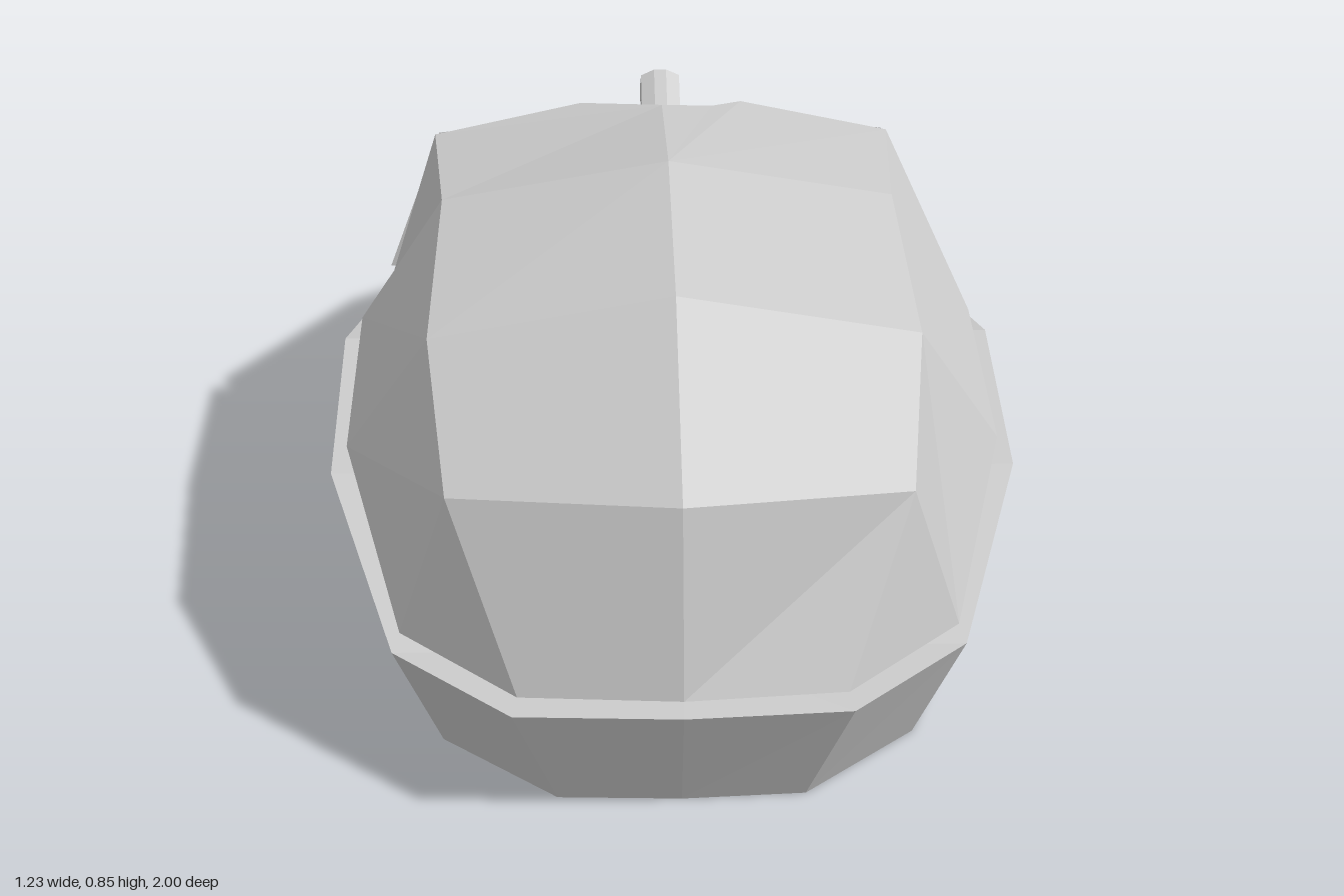
import * as THREE from 'three';

const material = new THREE.MeshStandardMaterial({ color: 0xcccccc, flatShading: true });

// Mesh from convex faces (loops of points, counter-clockwise from outside).
function facesMesh(name, faces) {
  const pos = [];
  for (const f of faces)
    for (let i = 1; i < f.length - 1; i++) pos.push(...f[0], ...f[i], ...f[i + 1]);
  const g = new THREE.BufferGeometry();
  g.setAttribute('position', new THREE.Float32BufferAttribute(pos, 3));
  g.computeVertexNormals();
  const mesh = new THREE.Mesh(g, material);
  mesh.name = name;
  return mesh;
}

const mirror = (faces) => faces.map((f) => f.map(([x, y, z]) => [-x, y, z]).reverse());
const both = (faces) => [...faces, ...mirror(faces)];
const centre = ([, y, z]) => [0, y, z];

// Base tray: rim and floor outlines of the +x half, from front to back
function baseFaces() {
  const rim = [[0.28, 0.22, 0.985], [0.485, 0.23, 0.81], [0.61, 0.37, 0.45], [0.615, 0.43, 0.04],
    [0.55, 0.29, -0.54], [0.435, 0.19, -0.83], [0.265, 0.135, -0.995]];
  const floor = [[0.21, 0, 0.91], [0.41, 0, 0.74], [0.525, 0, 0.42], [0.525, 0, 0.04],
    [0.47, 0, -0.53], [0.37, 0, -0.81], [0.22, 0, -0.97]];
  const rimMid = rim.map(centre), floorMid = floor.map(centre);
  rimMid[0] = [0, 0.22, 1];
  rimMid[6] = [0, 0.135, -1];
  floorMid[0] = [0, 0, 0.92];
  const faces = [
    [floorMid[0], floor[0], rim[0], rimMid[0]],
    [floor[6], floorMid[6], rimMid[6], rim[6]],
  ];
  for (let i = 0; i < 6; i++) {
    faces.push([floor[i], floor[i + 1], rim[i + 1], rim[i]]);
    faces.push([rim[i], rim[i + 1], rimMid[i + 1], rimMid[i]]);
    faces.push([floor[i], floorMid[i], floorMid[i + 1], floor[i + 1]]);
  }
  return both(faces);
}

// Palm shell: ridge, shoulder and lower edge, with a recess for the wheel
function shellFaces() {
  const ridge = [[0, 0.255, 1], [0, 0.57, 0.92], [0, 0.775, 0.575], [0, 0.845, 0.165], [0, 0.785, -0.255]];
  const shoulder = [null, [0.385, 0.53, 0.81], [0.422, 0.68, 0.535], [0.415, 0.745, 0.1], [0.45, 0.705, -0.31]];
  const lower = [[0.27, 0.255, 0.98], [0.47, 0.27, 0.81], [0.58, 0.42, 0.44], [0.58, 0.475, 0.04], [0.55, 0.4, -0.28]];
  const under = lower.map(centre);
  under[0] = ridge[0];
  under[4] = [0, 0.4, -0.24];
  const lip = [[0.16, 0.755, -0.345], [0.1, 0.768, -0.29]];
  const foot = [[0.16, 0.4, -0.315], [0.1, 0.4, -0.27]];
  const faces = [
    [ridge[0], lower[0], shoulder[1], ridge[1]],
    [lower[0], lower[1], shoulder[1]],
    [ridge[3], shoulder[3], shoulder[4], ...lip, ridge[4]],
    [shoulder[4], lower[4], foot[0], lip[0]],
    [lip[0], foot[0], foot[1], lip[1]],
    [lip[1], foot[1], under[4], ridge[4]],
    [under[3], under[4], foot[1], foot[0], lower[4], lower[3]],
  ];
  for (let i = 1; i < 4; i++) {
    faces.push([lower[i], lower[i + 1], shoulder[i + 1], shoulder[i]]);
    if (i < 3) faces.push([ridge[i], shoulder[i], shoulder[i + 1], ridge[i + 1]]);
  }
  for (let i = 0; i < 3; i++) faces.push([lower[i], under[i], under[i + 1], lower[i + 1]]);
  return both(faces);
}

// Click button: top and bottom outlines, starting at the outer side
function buttonFaces() {
  const top = [[0.417, 0.595, -0.54], [0.365, 0.46, -0.83], [0.235, 0.4, -0.985], [0.008, 0.41, -0.985],
    [0.008, 0.605, -0.6], [0.08, 0.68, -0.46], [0.15, 0.72, -0.38], [0.445, 0.69, -0.355]];
  const bottom = [[0.545, 0.345, -0.54], [0.44, 0.26, -0.82], [0.265, 0.18, -1], [0.008, 0.18, -1],
    [0.008, 0.33, -0.6], [0.08, 0.37, -0.46], [0.15, 0.395, -0.38], [0.555, 0.4, -0.345]];
  const faces = [top, [bottom[0], ...bottom.slice(1).reverse()]];
  for (let i = 0; i < 8; i++) {
    const j = (i + 1) % 8;
    faces.push([bottom[i], bottom[j], top[j], top[i]]);
  }
  return faces;
}

export function createModel() {
  const model = new THREE.Group();
  model.name = 'computerMouse';
  model.add(facesMesh('base', baseFaces()));
  model.add(facesMesh('palmShell', shellFaces()));
  model.add(facesMesh('leftButton', buttonFaces()));
  model.add(facesMesh('rightButton', mirror(buttonFaces())));

  // Hexagonal ring as scroll wheel, slightly crowned
  const profile = [[0.07, -0.038], [0.115, -0.038], [0.127, -0.012], [0.127, 0.012],
    [0.115, 0.038], [0.07, 0.038], [0.07, -0.038]].map(([r, y]) => new THREE.Vector2(r, y));
  const wheel = new THREE.Mesh(new THREE.LatheGeometry(profile, 6, Math.PI / 2), material);
  wheel.name = 'scrollWheel';
  wheel.rotation.z = Math.PI / 2;
  wheel.position.set(0, 0.683, -0.382);
  model.add(wheel);
  return model;
}
